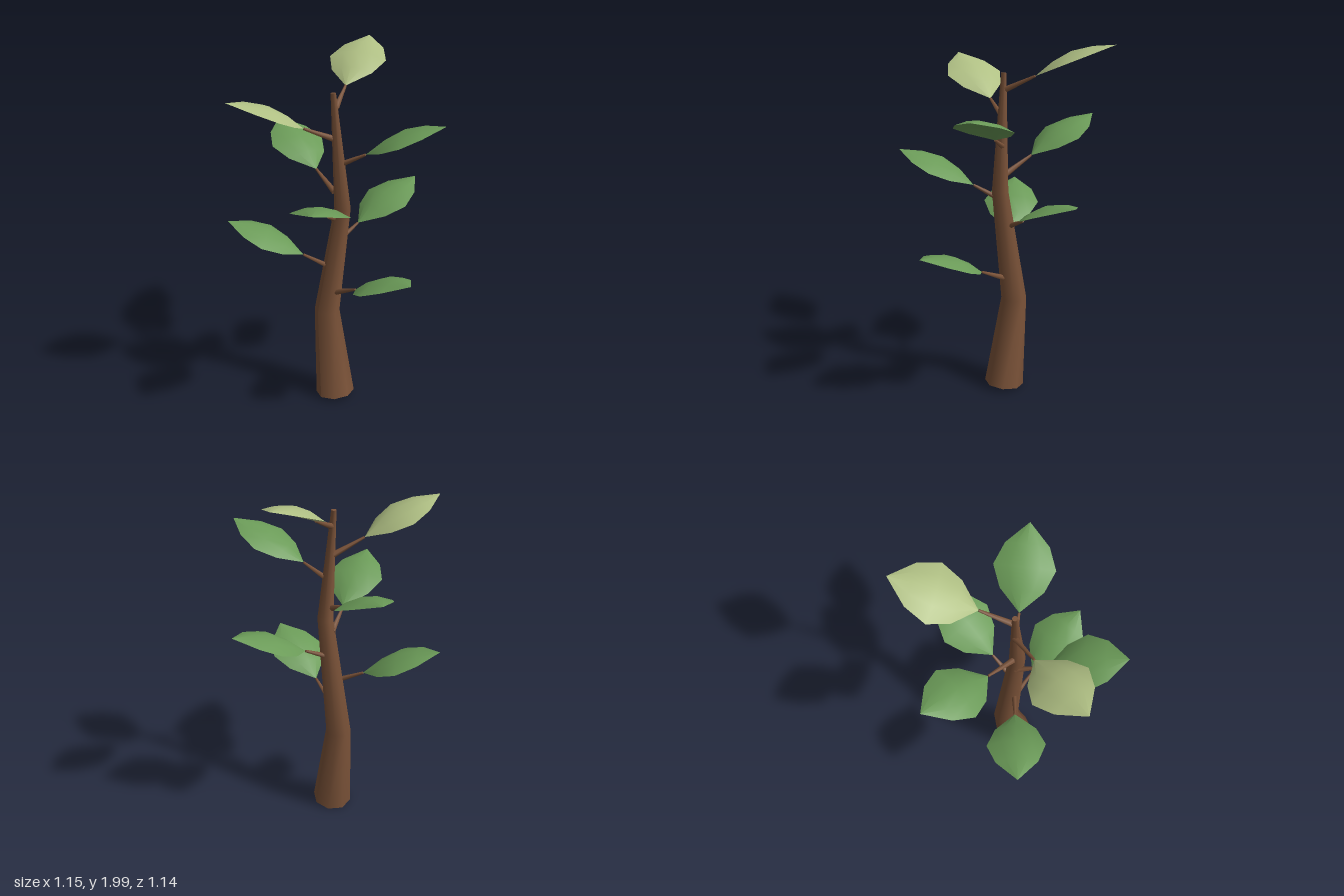
import * as THREE from 'three';

const V = (a) => new THREE.Vector3(...a);

// Bent trunk: centre, radius and tilt of each ring, bottom to top
const rings = [
  { c: [0.002, 0.02, 0.003], r: 0.11, tilt: 0.135 },
  { c: [-0.07, 0.54, 0], r: 0.071, tilt: 0 },
  { c: [0.043, 1.2, -0.013], r: 0.044, tilt: -0.04 },
  { c: [-0.004, 1.825, 0.01], r: 0.014, tilt: 0.05 },
];

// Leaves: base point, tip point, young (pale) or not
const leaves = [
  { base: [0.165, 0.76, 0], tip: [0.575, 0.94, 0.005] },
  { base: [-0.13, 0.905, 0.12], tip: [-0.435, 1.09, 0.4] },
  { base: [0.01, 1.06, -0.16], tip: [0.045, 1.24, -0.575] },
  { base: [0.1, 1.21, 0.14], tip: [0.35, 1.39, 0.47] },
  { base: [-0.175, 1.36, -0.02], tip: [-0.578, 1.545, -0.09] },
  { base: [0.14, 1.51, -0.085], tip: [0.485, 1.695, -0.31] },
  { base: [-0.05, 1.66, 0.17], tip: [-0.155, 1.85, 0.57], young: true },
  { base: [-0.08, 1.82, -0.145], tip: [-0.28, 2.0, -0.51], young: true },
];

function trunkGeometry() {
  const g = new THREE.CylinderGeometry(1, 1, 1, 8, rings.length - 1);
  const p = g.attributes.position;
  for (let i = 0; i < p.count; i++) {
    const { c, r, tilt } = rings[Math.round((p.getY(i) + 0.5) * (rings.length - 1))];
    const x = p.getX(i) * r;
    p.setXYZ(i, c[0] + x, c[1] + x * tilt, c[2] + p.getZ(i) * r);
  }
  g.computeVertexNormals();
  return g;
}

// Domed leaf running along +z from its base, arched towards +y
function leafGeometry(length) {
  const halfWidth = [0, 0.112, 0.158, 0.112, 0];
  const arch = [0, 0.036, 0.052, 0.036, 0];
  const pos = [], idx = [], cols = 5;
  for (let i = 0; i < 5; i++) {
    for (let j = 0; j < cols; j++) {
      const s = (j / (cols - 1)) * 2 - 1;
      pos.push(s * halfWidth[i], arch[i] * (1 - 0.85 * s * s), (i / 4) * length);
    }
  }
  for (let i = 0; i < 4; i++) {
    for (let j = 0; j < cols - 1; j++) {
      const a = i * cols + j, b = a + 1, c = a + cols, d = c + 1;
      if (i < 3) idx.push(a, c, d);
      if (i > 0) idx.push(a, d, b);
      if (i === 3) idx.push(a, c, d);
    }
  }
  const g = new THREE.BufferGeometry();
  g.setAttribute('position', new THREE.Float32BufferAttribute(pos, 3));
  g.setIndex(idx);
  g.computeVertexNormals();
  return g;
}

// Tapered twig between two points
function twig(from, to, material) {
  const dir = to.clone().sub(from);
  const mesh = new THREE.Mesh(new THREE.CylinderGeometry(0.007, 0.017, dir.length(), 6), material);
  mesh.position.copy(from).addScaledVector(dir, 0.5);
  mesh.quaternion.setFromUnitVectors(new THREE.Vector3(0, 1, 0), dir.normalize());
  return mesh;
}

export function createModel() {
  const bark = new THREE.MeshStandardMaterial({ color: 0x7a5238, name: 'bark' });
  const green = new THREE.MeshStandardMaterial({ color: 0x6b9b58, name: 'leafGreen', side: THREE.DoubleSide });
  const pale = new THREE.MeshStandardMaterial({ color: 0xb0c084, name: 'youngLeafGreen', side: THREE.DoubleSide });
  const group = new THREE.Group();
  group.name = 'sapling';

  const trunk = new THREE.Mesh(trunkGeometry(), bark);
  trunk.name = 'trunk';
  group.add(trunk);

  leaves.forEach(({ base, tip, young }, i) => {
    const b = V(base), t = V(tip);
    const branch = new THREE.Group();
    branch.name = `branch${i + 1}`;

    const stem = twig(new THREE.Vector3(b.x * 0.05, b.y - 0.078, b.z * 0.05), b, bark);
    stem.name = 'stem';

    const leaf = new THREE.Mesh(leafGeometry(b.distanceTo(t)), young ? pale : green);
    leaf.name = young ? 'youngLeaf' : 'leaf';
    leaf.position.copy(b);
    leaf.lookAt(t);

    branch.add(stem, leaf);
    group.add(branch);
  });
  return group;
}
